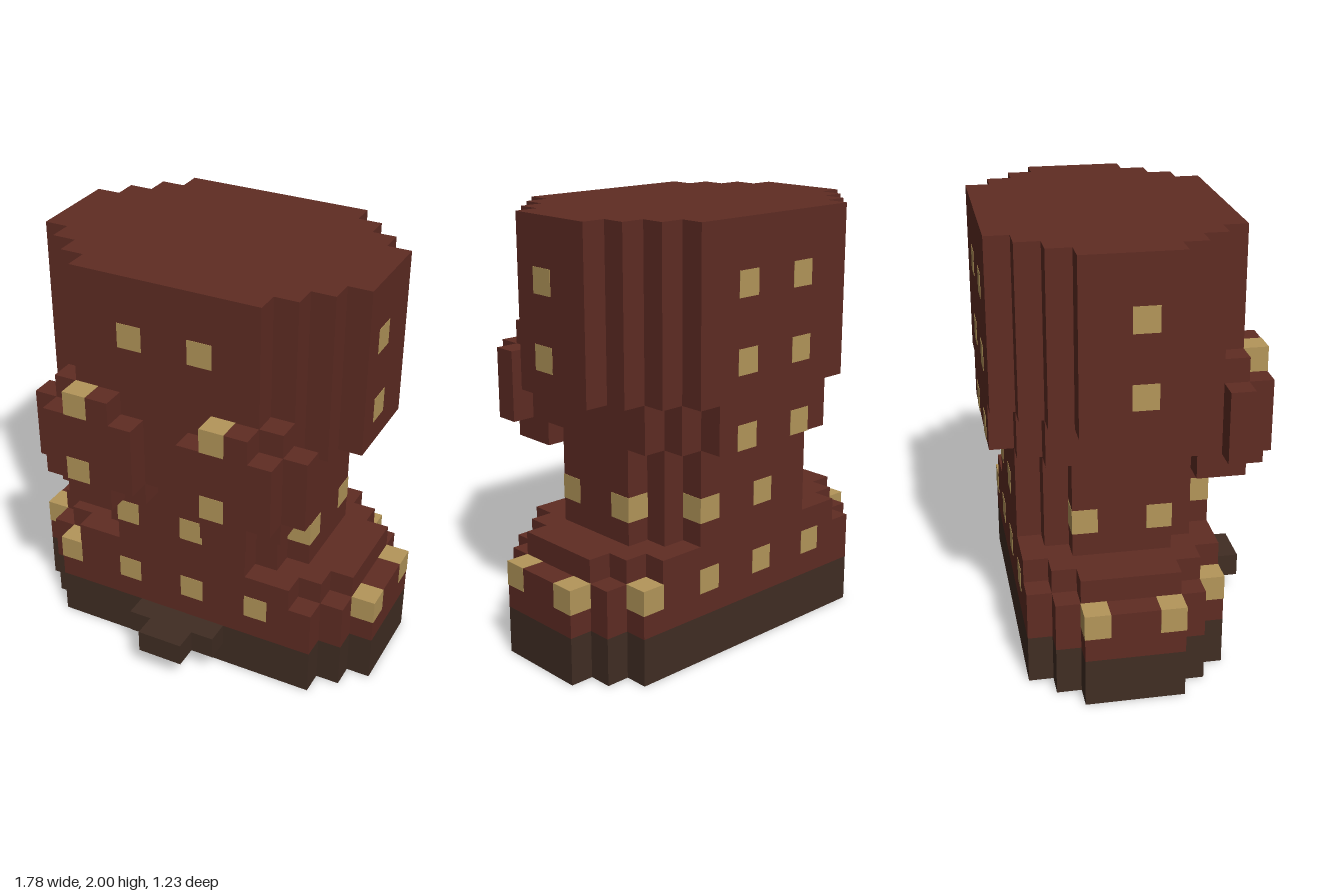
import * as THREE from 'three';

const U = 1 / 9; // one block

export function createModel() {
  const group = new THREE.Group();
  const make = (name, color) => {
    const m = new THREE.MeshStandardMaterial({ color });
    m.name = name;
    return m;
  };
  const red = make('brick red', 0x5f2c23);
  const dark = make('dark brown', 0x402d23);
  const gold = make('window gold', 0xb4965a);

  const add = (name, geometry, material) => {
    const mesh = new THREE.Mesh(geometry, material);
    mesh.name = name;
    group.add(mesh);
  };

  // Stepped slab: half widths listed row by row from back (z0) to front
  const slab = (name, y0, y1, z0, widths, material) => {
    const right = [];
    widths.forEach((w, i) => {
      if (w !== widths[i - 1]) {
        if (i) right.push([widths[i - 1], z0 + i]);
        right.push([w, z0 + i]);
      }
    });
    right.push([widths[widths.length - 1], z0 + widths.length]);
    const left = right.map(([x, z]) => [-x, z]).reverse();
    const shape = new THREE.Shape([...right, ...left].map(([x, z]) => new THREE.Vector2(x * U, z * U)));
    const geo = new THREE.ExtrudeGeometry(shape, { depth: (y1 - y0) * U, bevelEnabled: false });
    geo.rotateX(Math.PI / 2).translate(0, y1 * U, 0);
    add(name, geo, material);
  };

  // Box between two block corners
  const box = (name, x0, x1, y0, y1, z0, z1, material, grow = 0) => {
    const geo = new THREE.BoxGeometry((x1 - x0) * U + grow, (y1 - y0) * U + grow, (z1 - z0) * U + grow);
    geo.translate((x0 + x1) / 2 * U, (y0 + y1) / 2 * U, (z0 + z1) / 2 * U);
    add(name, geo, material);
  };

  // Foundation, base, waist and head
  const baseRows = [6, 7, 8, 8, 8, 8, 7, 6];
  slab('foundation', 0, 2, -4.5, baseRows, dark);
  slab('base', 2, 4, -4.5, baseRows, red);
  slab('baseLedge', 4, 5, -4.5, baseRows.map((w) => w - 1), red);
  slab('waist', 5, 9, -4.5, baseRows.map((w) => w - 3), red);
  slab('collar', 9, 11, -5.5, [3, 4, 5, 5, 5, 5, 5, 5, 4, 3], red);
  slab('head', 11, 18, -5.5, [4, 5, 6, 7, 7, 7, 7, 6, 5, 4], red);

  // Front step
  box('frontStep', -2, 2, 1, 2, 3.5, 4.5, dark);
  box('frontStepNose', -1, 1, 1, 2, 4.5, 5.5, dark);

  // Pair of rounded front bays
  for (const s of [-1, 1]) {
    const bay = (name, a, b, ...rest) => box(name, Math.min(s * a, s * b), Math.max(s * a, s * b), ...rest, red);
    bay('bayBack', 1, 5, 8, 12, 2.5, 3.5);
    bay('bayBody', 1, 5, 8, 13, 3.5, 4.5);
    bay('baySide', 5, 6, 9, 12, 3.5, 4.5);
    bay('bayFront', 1, 5, 9, 12, 4.5, 5.5);
    bay('bayFrontCore', 2, 4, 8, 13, 4.5, 5.5);
  }

  // Window blocks, standing a hair proud of the walls
  const win = (x, y, z) => box('window', x, x + 1, y, y + 1, z, z + 1, gold, 0.004);
  for (const x of [-2, 1]) {
    win(x, 15, 3.5);
    for (const y of [9, 12, 15]) win(x, y, -5.5);
  }
  for (const x of [-4, 2]) for (const y of [9, 12]) win(x, y, 4.5);
  for (const x of [-7, 6]) for (const y of [12, 15]) win(x, y, -0.5);
  for (const z of [-2.5, 0.5]) {
    for (const x of [-5, 4]) win(x, 6, z);
    for (const x of [-8, 7]) win(x, 3, z);
  }
  for (const x of [-3, 0]) win(x, 6, 2.5);
  for (const x of [-1, 2]) win(x, 6, -4.5);
  for (const x of [-6, -3, 0, 3]) win(x, 3, 2.5);
  for (const x of [-4, -1, 2, 5]) win(x, 3, -4.5);

  return group;
}
